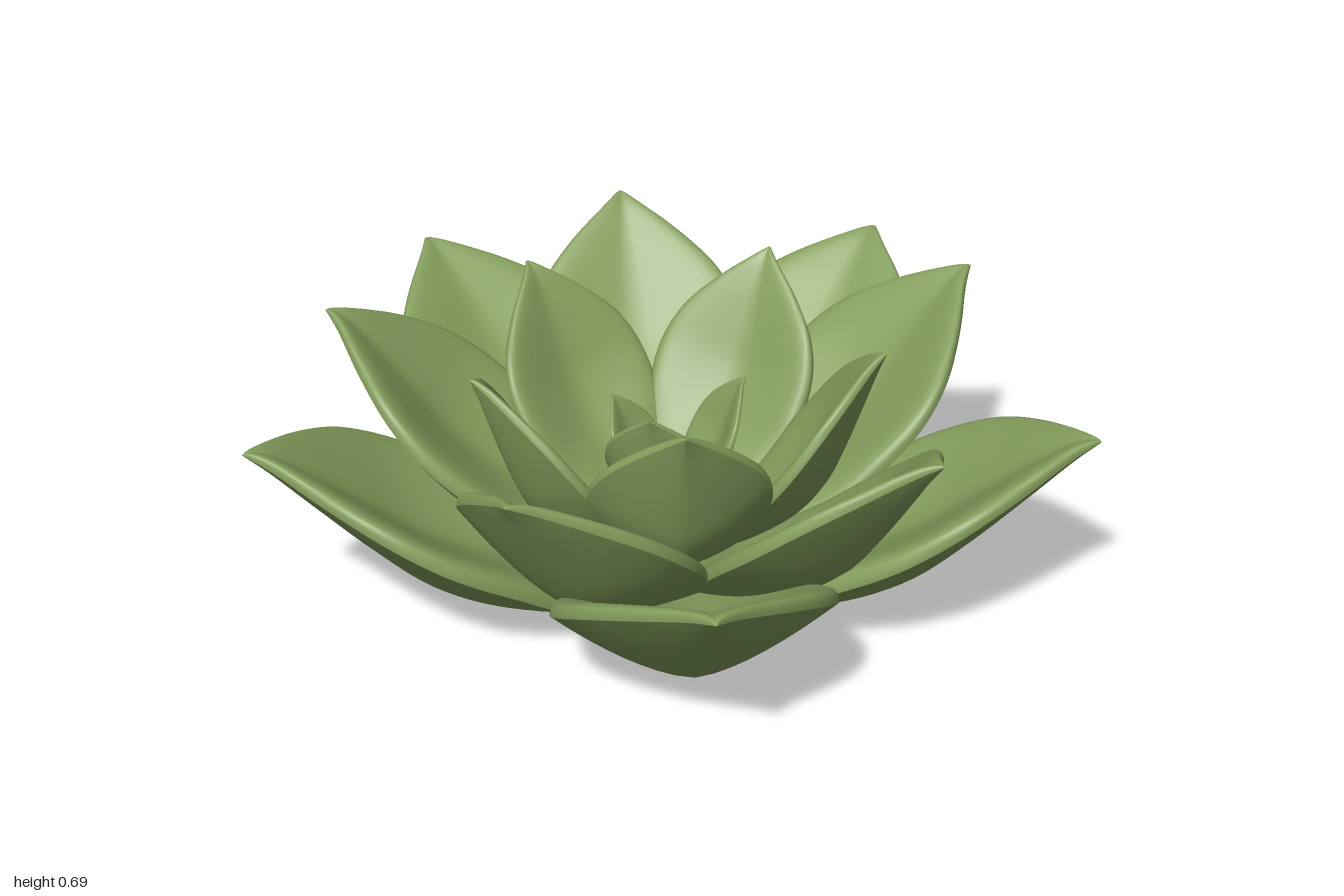
import * as THREE from 'three';

// Leaf stations from base to tip: underside keel (reach, height) and rim (half width, height)
const KEEL = [[0.07, 0.03], [0.2, 0.004], [0.35, 0.002], [0.5, 0.03], [0.65, 0.115], [0.78, 0.24], [0.9, 0.37], [1, 0.48], [1.06, 0.54]];
const RIM = [[0, 0.03], [0.17, 0.05], [0.28, 0.115], [0.325, 0.215], [0.33, 0.305], [0.28, 0.385], [0.175, 0.455], [0.06, 0.512], [0, 0.54]];
const BASE = KEEL[0];

const spline = (points) => new THREE.SplineCurve(points.map((p) => new THREE.Vector2(...p)));

// Fleshy cupped leaf growing along +x, with its base at the origin
function leafGeometry() {
  const rows = 40, sides = 48;
  const keel = spline(KEEL), rim = spline(RIM);
  const positions = [], indices = [];
  for (let i = 0; i <= rows; i++) {
    const t = i / rows;
    const k = keel.getPoint(t), e = rim.getPoint(t);
    const width = Math.max(e.x, 0);
    const thickness = 0.145 * Math.max(Math.sin(Math.PI * t ** 0.8), 0) ** 0.9;
    const power = 1.8 - 0.6 * t; // the keel gets sharper towards the tip
    for (let j = 0; j < sides; j++) {
      const a = (j / sides) * Math.PI * 2;
      const u = Math.cos(a);
      const under = k.y + (e.y - k.y) * Math.abs(u) ** power;
      const lift = thickness * Math.max(Math.sin(a), 0) ** 0.85; // plump, rolled rim
      positions.push(k.x - BASE[0], under + lift - BASE[1], width * u);
    }
  }
  for (let i = 0; i < rows; i++) {
    for (let j = 0; j < sides; j++) {
      const a = i * sides + j, b = a + sides;
      const c = i * sides + ((j + 1) % sides), d = c + sides;
      indices.push(a, b, c, b, d, c);
    }
  }
  const geometry = new THREE.BufferGeometry();
  geometry.setAttribute('position', new THREE.Float32BufferAttribute(positions, 3));
  geometry.setIndex(indices);
  geometry.computeVertexNormals();
  return geometry;
}

// Leaf whorls: tip radius and height, size, chord pitch and headings (degrees, from +x towards +z)
const WHORLS = [
  { name: 'outerLeaf', radius: 1.063, height: 0.54, scale: 1, pitch: 27.3, headings: [-97.7, -24, 44.6, 120.4, 190.4] },
  { name: 'middleLeaf', radius: 0.872, height: 0.665, scale: 0.88, pitch: 37, headings: [-67.3, 5.3, 74, 149.6, 220.7] },
  { name: 'innerLeaf', radius: 0.535, height: 0.685, scale: 0.67, pitch: 51.5, headings: [-101, -26.6, 46, 111.6, 186] },
  { name: 'heartLeaf', radius: 0.257, height: 0.57, scale: 0.4, pitch: 56, headings: [61] },
  { name: 'heartLeaf', radius: 0.2, height: 0.52, scale: 0.34, pitch: 58, headings: [-59] },
  { name: 'heartLeaf', radius: 0.177, height: 0.455, scale: 0.27, pitch: 54, headings: [172] },
];

export function createModel() {
  const model = new THREE.Group();
  model.name = 'succulentRosette';
  const geometry = leafGeometry();
  const material = new THREE.MeshStandardMaterial({ color: 0x859e5d });
  const [tipX, tipY] = [1.06 - BASE[0], 0.54 - BASE[1]];
  const ownPitch = Math.atan2(tipY, tipX);

  for (const { name, radius, height, scale, pitch, headings } of WHORLS) {
    const p = THREE.MathUtils.degToRad(pitch);
    const length = Math.hypot(tipX, tipY) * scale;
    const baseRadius = radius - length * Math.cos(p);
    const baseHeight = height - length * Math.sin(p);
    headings.forEach((degrees) => {
      const heading = THREE.MathUtils.degToRad(degrees);
      const leaf = new THREE.Mesh(geometry, material);
      leaf.name = name;
      leaf.scale.setScalar(scale);
      leaf.rotation.set(0, -heading, p - ownPitch, 'YZX');
      leaf.position.set(0.042 + baseRadius * Math.cos(heading), baseHeight, 0.062 + baseRadius * Math.sin(heading));
      model.add(leaf);
    });
  }
  return model;
}
